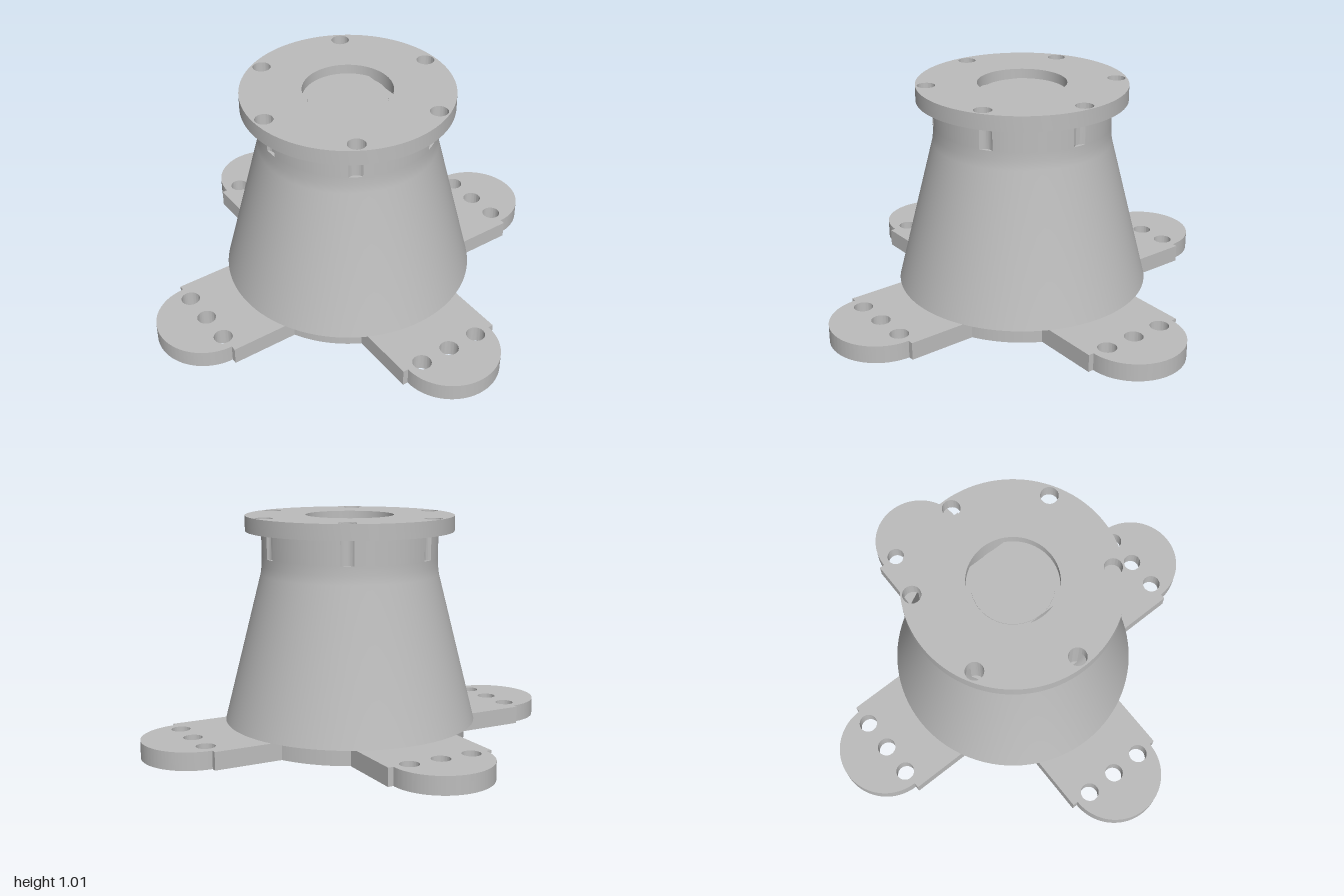
import * as THREE from 'three';
import { toCreasedNormals } from 'three/addons/utils/BufferGeometryUtils.js';

const BORE = 0.2;

function circlePath(x, y, r) {
  const p = new THREE.Path();
  p.absarc(x, y, r, 0, Math.PI * 2, true);
  return p;
}

// Upright plate: outline drawn in plan, extruded from y0 to y1
function plate(shape, y0, y1) {
  const g = new THREE.ExtrudeGeometry(shape, { depth: y1 - y0, bevelEnabled: false, curveSegments: 48 });
  g.rotateX(-Math.PI / 2);
  g.translate(0, y0, 0);
  return toCreasedNormals(g, 0.5);
}

// Hub with four round-ended arms and bolt holes
function baseShape() {
  const s = new THREE.Shape();
  const hubR = 0.53, half = 0.25, endX = 0.775, endR = 0.225;
  const a = Math.asin(half / hubR);
  for (let i = 0; i < 4; i++) {
    const t = i * Math.PI / 2, c = Math.cos(t), n = Math.sin(t);
    const at = (x, y) => [x * c - y * n, x * n + y * c];
    const start = at(hubR * Math.cos(a), -half);
    if (i === 0) s.moveTo(...start); else s.lineTo(...start);
    s.lineTo(...at(endX, -half));
    s.lineTo(...at(endX, -endR));
    s.absarc(...at(endX, 0), endR, t - Math.PI / 2, t + Math.PI / 2, false);
    s.lineTo(...at(endX, half));
    s.lineTo(...at(hubR * Math.cos(a), half));
    s.absarc(0, 0, hubR, t + a, t + Math.PI / 2 - a, false);
    for (const k of [-0.15, 0, 0.15]) s.holes.push(circlePath(...at(endX, k), 0.042));
  }
  s.holes.push(circlePath(0, 0, BORE));
  return s;
}

// Neck outline with six scallops that continue the flange holes
function neckShape() {
  const s = new THREE.Shape();
  const R = 0.4, d = 0.425, r = 0.04;
  const x = (d * d + R * R - r * r) / (2 * d), h = Math.sqrt(R * R - x * x);
  const a = Math.atan2(h, x), b = Math.atan2(h, d - x);
  for (let i = 0; i < 6; i++) {
    const t = i * Math.PI / 3, next = t + Math.PI / 3;
    s.absarc(0, 0, R, t + a, next - a, false);
    s.absarc(d * Math.cos(next), d * Math.sin(next), r, next + Math.PI + b, next + Math.PI - b, true);
  }
  s.holes.push(circlePath(0, 0, BORE));
  return s;
}

// Round top flange with six bolt holes
function flangeShape() {
  const s = new THREE.Shape();
  s.absarc(0, 0, 0.473, 0, Math.PI * 2, false);
  for (let i = 0; i < 6; i++) {
    const t = i * Math.PI / 3;
    s.holes.push(circlePath(0.425 * Math.cos(t), 0.425 * Math.sin(t), 0.04));
  }
  s.holes.push(circlePath(0, 0, BORE));
  return s;
}

// Bore filler with two flat sides
function coreShape() {
  const s = new THREE.Shape();
  const a = Math.acos(0.178 / BORE);
  s.absarc(0, 0, BORE, a, Math.PI - a, false);
  s.absarc(0, 0, BORE, Math.PI + a, Math.PI * 2 - a, false);
  return s;
}

export function createModel() {
  const group = new THREE.Group();
  const grey = new THREE.MeshStandardMaterial({ color: 0xbdbdbd });
  grey.name = 'grey metal';

  const add = (name, geometry) => {
    const m = new THREE.Mesh(geometry, grey);
    m.name = name;
    group.add(m);
  };

  add('basePlate', plate(baseShape(), 0, 0.08));

  // Hollow cone running up into the plain lower neck
  const profile = [
    [BORE, 0.08], [0.573, 0.08], [0.405, 0.75], [0.4, 0.79],
    [0.4, 0.83], [BORE, 0.83], [BORE, 0.08],
  ].map(([x, y]) => new THREE.Vector2(x, y));
  add('coneBody', toCreasedNormals(new THREE.LatheGeometry(profile, 96), 0.5));

  add('scallopedNeck', plate(neckShape(), 0.83, 0.945));
  add('topFlange', plate(flangeShape(), 0.945, 1.015));

  // Recessed floor inside the bore
  add('boreCore', plate(coreShape(), 0.1, 0.97));
  const disc = new THREE.CylinderGeometry(0.178, 0.178, 0.006, 64);
  disc.translate(0, 0.972, 0);
  add('recessDisc', disc);

  return group;
}
